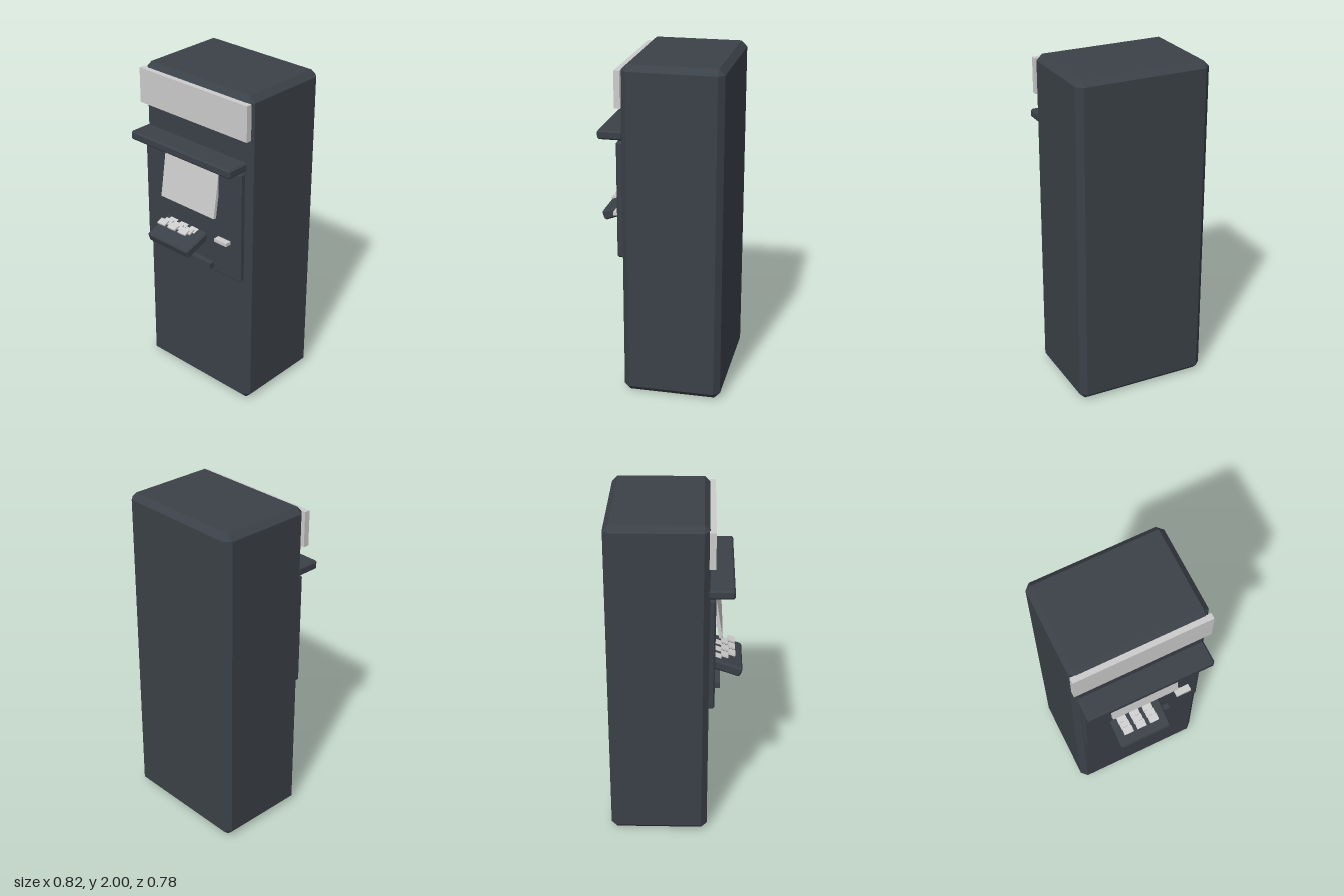
import * as THREE from 'three';
import { ConvexGeometry } from 'three/addons/geometries/ConvexGeometry.js';

const material = (name, color) => {
  const m = new THREE.MeshStandardMaterial({ color });
  m.name = name;
  return m;
};

// Box with every edge cut by a flat chamfer c
function chamferBox(w, h, d, c) {
  const points = [];
  for (const sx of [-1, 1]) for (const sy of [-1, 1]) for (const sz of [-1, 1]) {
    for (let axis = 0; axis < 3; axis++) {
      const p = [w / 2 - c, h / 2 - c, d / 2 - c];
      p[axis] += c;
      points.push(new THREE.Vector3(sx * p[0], sy * p[1], sz * p[2]));
    }
  }
  return new ConvexGeometry(points);
}

export function createModel() {
  const group = new THREE.Group();
  group.name = 'cashMachine';
  const casing = material('darkCasing', 0x3b4148);
  const light = material('lightGrey', 0xcccccc);

  function add(name, mat, size, centre, chamfer = 0, tilt = 0) {
    const geometry = chamfer ? chamferBox(...size, chamfer) : new THREE.BoxGeometry(...size);
    const mesh = new THREE.Mesh(geometry, mat);
    mesh.name = name;
    mesh.position.set(...centre);
    mesh.rotation.x = tilt;
    group.add(mesh);
  }

  // Cabinet, header sign and hood
  add('cabinet', casing, [0.82, 2, 0.586], [0, 1, -0.1], 0.035);
  add('headerSign', light, [0.82, 0.212, 0.036], [0, 1.863, 0.204]);
  add('hood', casing, [0.772, 0.054, 0.148], [0, 1.592, 0.258], 0.01);

  // Control panel with its tilted screen
  add('controlPanel', casing, [0.75, 0.7, 0.05], [0, 1.204, 0.202], 0.01);
  add('screen', light, [0.42, 0.27, 0.02], [0, 1.365, 0.239], 0, -0.155);

  // Sloping keypad shelf with three rows of keys
  const slope = 0.35;
  add('keypadShelf', casing, [0.325, 0.06, 0.2], [-0.05, 1.036, 0.289], 0.01, slope);
  for (let row = 0; row < 3; row++) {
    for (let col = 0; col < 3; col++) {
      add('key', light, [0.059, 0.01, 0.043],
        [-0.143 + col * 0.083, 1.079 + row * 0.0125, 0.245 + row * 0.04], 0, slope);
    }
  }

  // Card slot and cash slot
  add('cardSlot', light, [0.094, 0.02, 0.045], [0.256, 1.096, 0.244]);
  add('cashSlot', casing, [0.354, 0.038, 0.045], [-0.003, 0.9, 0.238]);

  return group;
}
